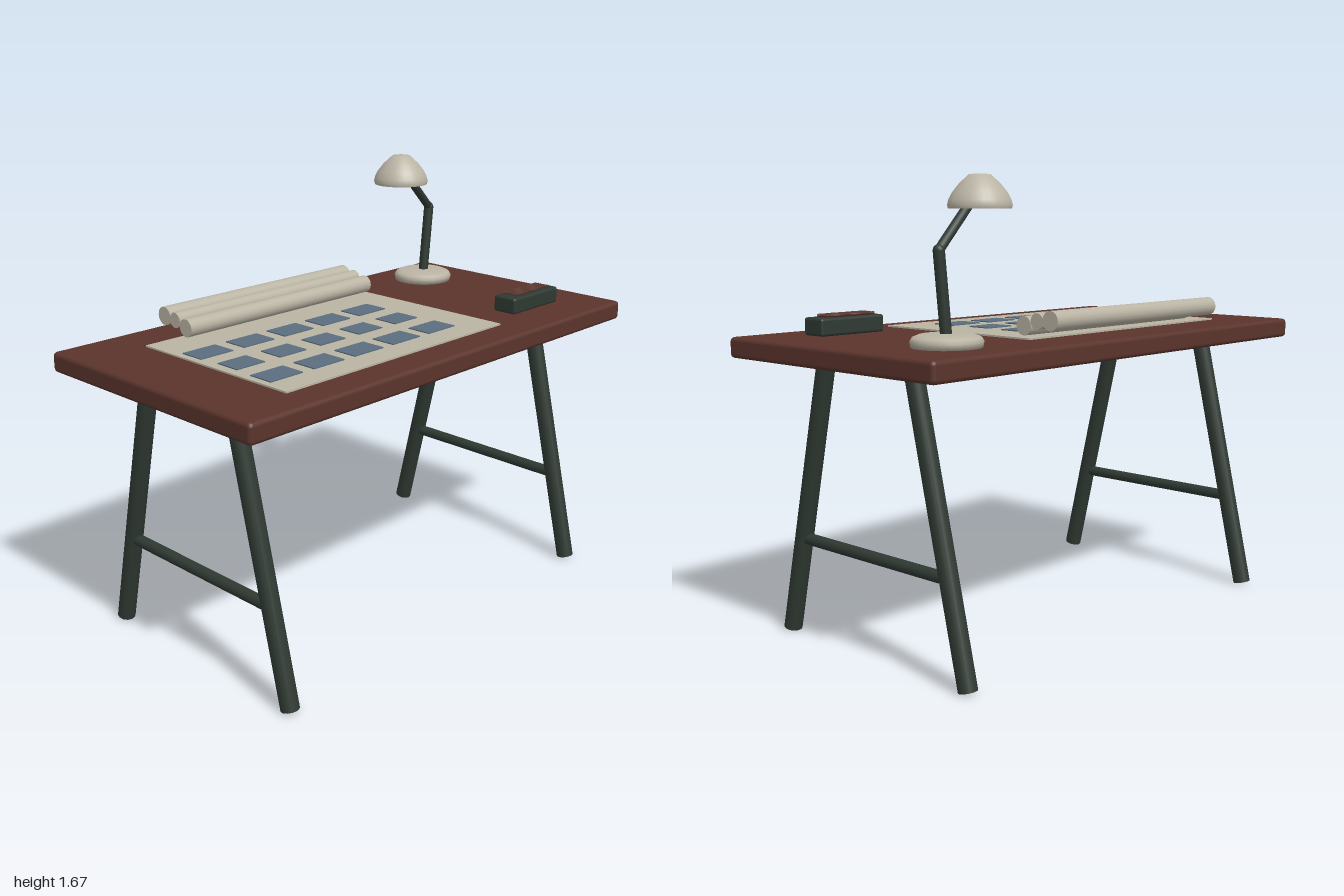
import * as THREE from 'three';
import { RoundedBoxGeometry } from 'three/addons/geometries/RoundedBoxGeometry.js';

const V = (x, y, z) => new THREE.Vector3(x, y, z);

export function createModel() {
  const root = new THREE.Group();
  root.name = 'draftingDesk';

  const material = (name, color, side = THREE.FrontSide) => {
    const m = new THREE.MeshStandardMaterial({ color, side });
    m.name = name;
    return m;
  };
  const wood = material('redBrownWood', 0x5a342c);
  const metal = material('darkGreenMetal', 0x2f3932);
  const paper = material('paperBeige', 0xbab4a4, THREE.DoubleSide);
  const blue = material('slateBlue', 0x5b6f80);

  const add = (name, geometry, mat, x = 0, y = 0, z = 0) => {
    const mesh = new THREE.Mesh(geometry, mat);
    mesh.name = name;
    mesh.position.set(x, y, z);
    root.add(mesh);
    return mesh;
  };

  // Round bar between two points
  const bar = (name, a, b, radius, mat, sides = 12) => {
    const mesh = add(name, new THREE.CylinderGeometry(radius, radius, a.distanceTo(b), sides), mat);
    mesh.position.copy(a).add(b).multiplyScalar(0.5);
    mesh.quaternion.setFromUnitVectors(V(0, 1, 0), b.clone().sub(a).normalize());
    return mesh;
  };

  // Tabletop
  add('tabletop', new RoundedBoxGeometry(2, 0.075, 1.054, 2, 0.016), wood, 0, 1.068, 0);

  // Splayed trestle legs with a cross bar on each side
  for (const x of [-0.805, 0.805]) {
    for (const s of [-1, 1]) {
      bar('leg', V(x, 0.008, s * 0.465), V(x, 1.034, s * 0.225), 0.034, metal);
    }
    bar('crossBar', V(x, 0.365, -0.37), V(x, 0.365, 0.37), 0.022, metal, 10);
  }

  // Paper sheet with three rows of blue panels
  add('paperSheet', new THREE.BoxGeometry(1.106, 0.006, 0.735), paper, -0.182, 1.109, 0.033);
  [[-0.107, 0.145], [0.07, 0.125], [0.248, 0.145]].forEach(([z, width]) => {
    for (let i = 0; i < 5; i++) {
      add('drawingPanel', new THREE.BoxGeometry(width, 0.005, 0.1), blue, -0.636 + i * 0.196, 1.1135, z);
    }
  });

  // Rolled sheets along the back
  [[1.152, -0.294, 0.034], [1.17, -0.355, 0.029], [1.175, -0.416, 0.035]].forEach(([y, z, r]) => {
    bar('paperRoll', V(-0.585, y, z), V(0.355, y, z), r, paper, 16);
  });

  // Lamp: weighted base, bent arm, open shade
  const lathe = (name, points, x, z) => add(name,
    new THREE.LatheGeometry(points.map(([r, y]) => new THREE.Vector2(r, y)), 28), paper, x, 0, z);
  lathe('lampBase', [[0, 1.108], [0.118, 1.108], [0.122, 1.128], [0.114, 1.141], [0.092, 1.15], [0, 1.153]],
    0.726, -0.3);
  const elbow = V(0.755, 1.42, -0.297);
  bar('lampLowerArm', V(0.728, 1.14, -0.299), elbow, 0.02, metal, 10);
  bar('lampUpperArm', elbow, V(0.553, 1.592, -0.256), 0.017, metal, 10);
  add('lampElbow', new THREE.SphereGeometry(0.02, 12, 8), metal, elbow.x, elbow.y, elbow.z);
  lathe('lampShade', [[0.107, 1.552], [0.11, 1.563], [0.106, 1.58], [0.094, 1.604], [0.07, 1.634],
    [0.036, 1.665], [0, 1.667]], 0.521, -0.25);

  // Desk tray topped with thin wavy slats
  add('tray', new RoundedBoxGeometry(0.286, 0.064, 0.102, 2, 0.01), metal, 0.657, 1.14, 0.306);
  for (let row = 0; row < 5; row++) {
    const points = [];
    for (let i = 0; i <= 8; i++) {
      points.push(V(0.545 + i * 0.027, 1.178, 0.276 + row * 0.014 + 0.0025 * Math.sin(i * 1.9 + row)));
    }
    add('traySlat', new THREE.TubeGeometry(new THREE.CatmullRomCurve3(points), 24, 0.005, 6), wood);
  }

  return root;
}
